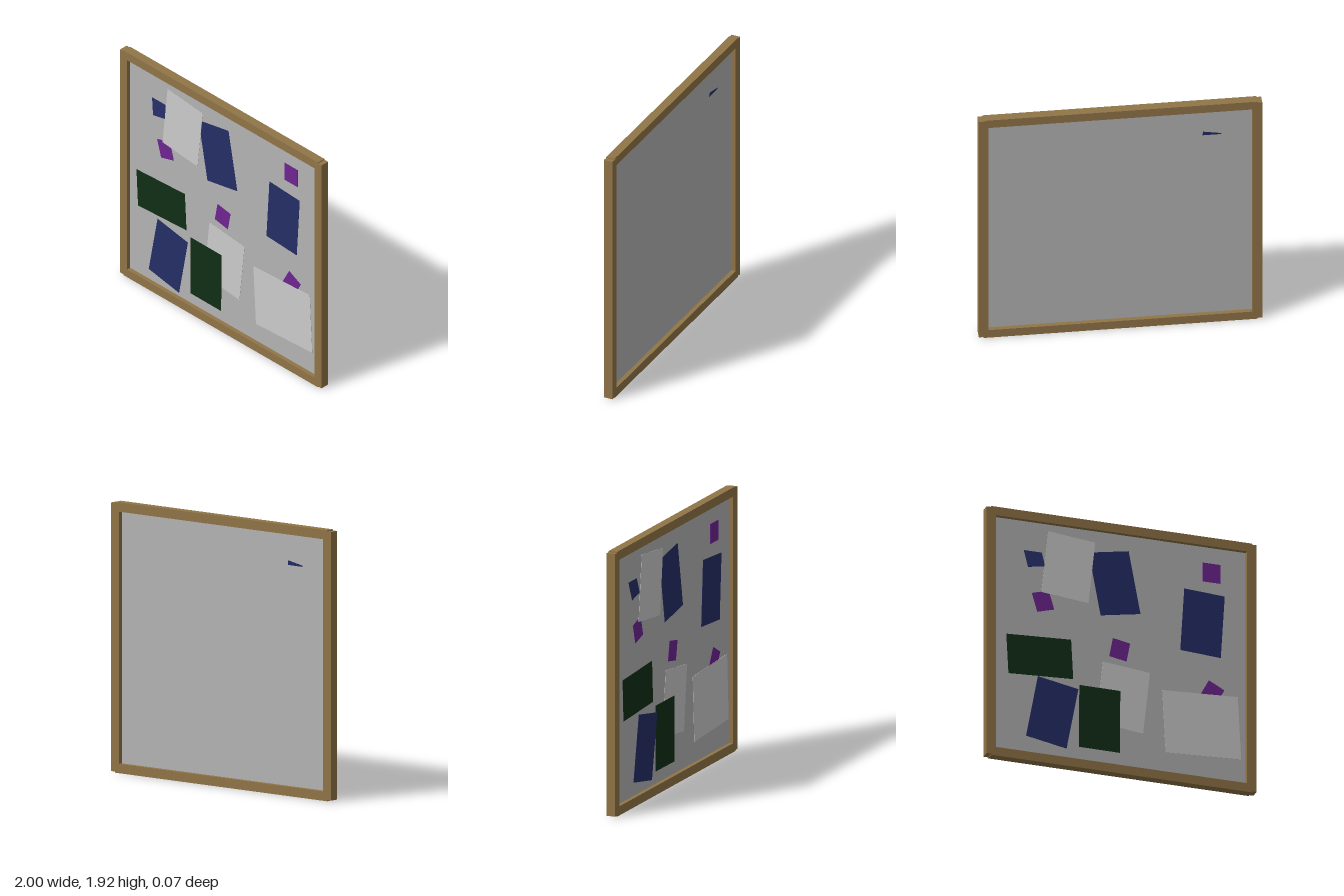
import * as THREE from 'three';

const mat = (color) => new THREE.MeshStandardMaterial({ color });

export function createModel() {
  const group = new THREE.Group();
  const wood = mat(0x917547);
  const cork = mat(0xb4b4b4);
  const white = mat(0xcccccc);
  const blue = mat(0x252e66);
  const green = mat(0x102e17);
  const purple = mat(0x6e2590);

  const box = (name, w, h, d, x, y, z, material) => {
    const mesh = new THREE.Mesh(new THREE.BoxGeometry(w, h, d), material);
    mesh.name = name;
    mesh.position.set(x, y, z);
    group.add(mesh);
    return mesh;
  };

  // Frame: two posts, and two rails whose ends run into the posts
  for (const s of [-1, 1]) {
    box(s > 0 ? 'leftPost' : 'rightPost', 0.07, 1.908, 0.066, s * 0.965, 0.962, -0.004, wood);
    box(s > 0 ? 'topRail' : 'bottomRail', 1.93, 0.066, 0.065, 0, 0.962 + s * 0.929, -0.004, wood);
  }

  // Thin board recessed on both sides
  box('board', 1.87, 1.8, 0.002, 0, 0.962, -0.003, cork);

  // Pinned sheets and notes: angle is in degrees in the plane of the board
  const sheet = (name, x, y, w, h, angle, z, material) => {
    const mesh = box(name, w, h, 0.002, x, y, z, material);
    mesh.rotation.z = THREE.MathUtils.degToRad(angle);
    return mesh;
  };
  sheet('blueSheetTop', -0.045, 1.472, 0.3, 0.48, 10.5, 0.011, blue);
  sheet('blueSheetSide', 0.605, 1.26, 0.3, 0.48, -3.5, 0.014, blue);
  sheet('blueSheetBottom', -0.515, 0.393, 0.305, 0.48, -10.5, 0.034, blue);
  sheet('greenSheetWide', -0.601, 0.821, 0.48, 0.302, 3, 0.016, green);
  sheet('greenSheetTall', -0.158, 0.404, 0.303, 0.478, -0.3, 0.017, green);
  sheet('whiteSheetTop', -0.39, 1.541, 0.35, 0.48, -6, 0.017, white);
  sheet('whiteSheetBottom', 0.018, 0.598, 0.35, 0.48, -6, 0.009, white);
  sheet('whiteSheetWide', 0.6, 0.475, 0.56, 0.48, 3, 0.011, white);

  const note = (x, y, angle, z, material) => sheet('note', x, y, 0.13, 0.145, angle, z, material);
  note(0.675, 1.662, 0, 0.004, purple);
  note(-0.573, 1.257, 16, 0.004, purple);
  note(-0.005, 0.967, -10.5, 0.004, purple);
  note(0.679, 0.736, -28, 0.004, purple);

  // One note leans back so its top edge pokes through the board
  const leaning = note(-0.637, 1.585, 11, 0.003, blue);
  leaning.rotation.x = -0.12;
  return group;
}
